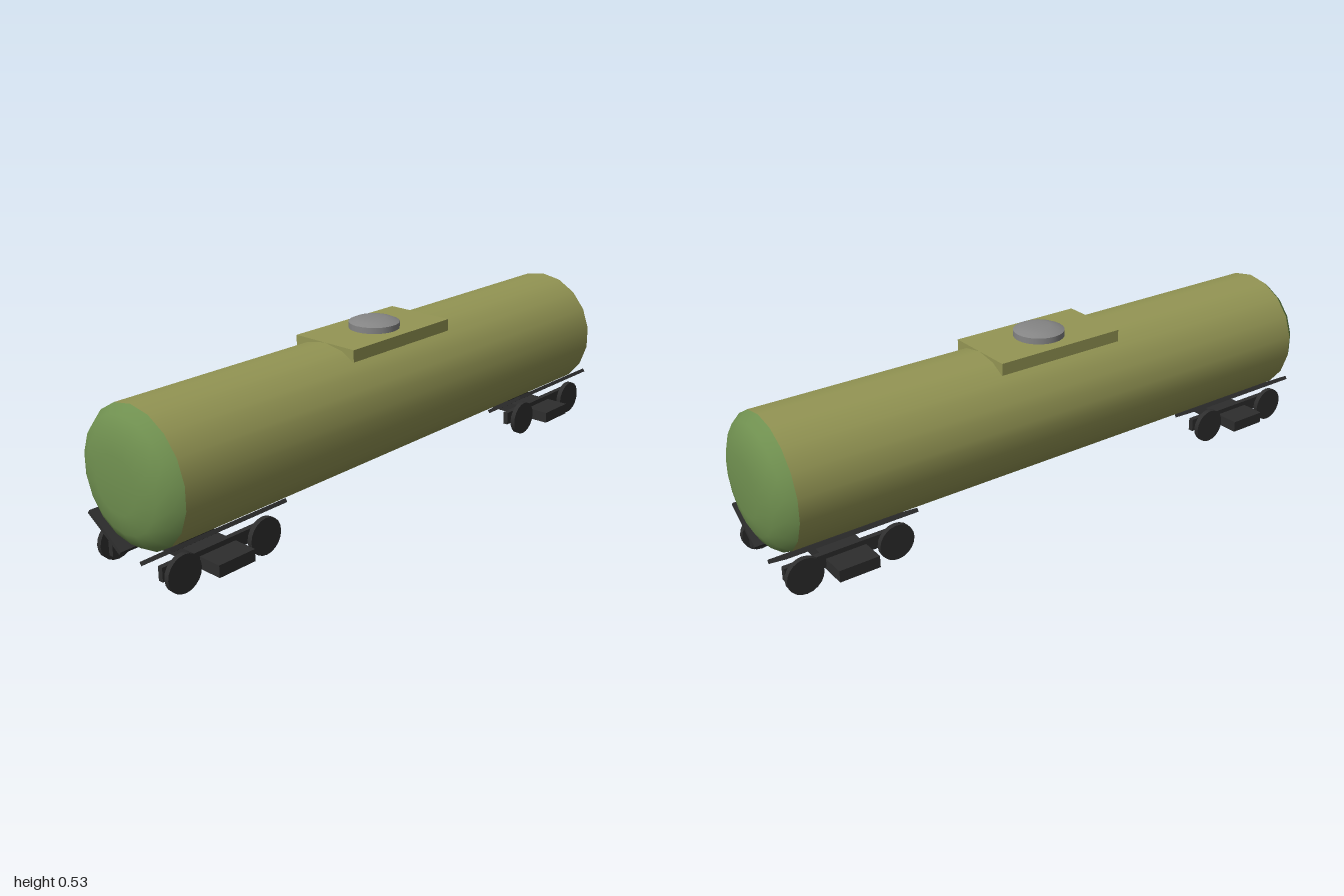
import * as THREE from 'three';

export function createModel() {
  const model = new THREE.Group();
  model.name = 'tankWagon';

  const mat = (name, color) => {
    const m = new THREE.MeshStandardMaterial({ color });
    m.name = name;
    return m;
  };
  const olive = mat('tank olive', 0x949654);
  const green = mat('end cap green', 0x6f8f4f);
  const grey = mat('hatch grey', 0x858585);
  const dark = mat('undercarriage black', 0x2e2e2e);

  const add = (parent, name, geometry, material, x = 0, y = 0, z = 0) => {
    const mesh = new THREE.Mesh(geometry, material);
    mesh.name = name;
    mesh.position.set(x, y, z);
    parent.add(mesh);
    return mesh;
  };
  const lathe = (points, sides) =>
    new THREE.LatheGeometry(points.map(([r, y]) => new THREE.Vector2(r, y)), sides);

  // Tank barrel
  const radius = 0.205, axisY = 0.293, halfBarrel = 0.935, sides = 18;
  const barrel = new THREE.CylinderGeometry(radius, radius, 2 * halfBarrel, sides, 1, true);
  add(model, 'tankBarrel', barrel.rotateX(Math.PI / 2), olive, 0, axisY, 0);

  // Domed end caps
  for (const end of [1, -1]) {
    const cap = lathe([[radius, 0], [0.182, 0.03], [0.145, 0.05], [0.085, 0.065], [0, 0.065]], sides);
    cap.rotateX(end * Math.PI / 2);
    add(model, end > 0 ? 'frontCap' : 'backCap', cap, green, 0, axisY, end * halfBarrel);
  }

  // Roof platform and hatch
  add(model, 'roofPlatform', new THREE.BoxGeometry(0.236, 0.038, 0.444), olive, 0, 0.479, 0);
  add(model, 'hatchRing', new THREE.CylinderGeometry(0.08, 0.08, 0.02, 24, 1, true), grey, 0, 0.507, 0);
  add(model, 'hatchLid', lathe([[0.08, 0], [0.062, 0.008], [0.036, 0.014], [0, 0.014]], 24),
    grey, 0, 0.517, 0);

  // Bogies
  const wheelGeo = new THREE.CylinderGeometry(0.0565, 0.0565, 0.016, 20).rotateZ(Math.PI / 2);
  for (const end of [1, -1]) {
    const bogie = new THREE.Group();
    bogie.name = end > 0 ? 'frontBogie' : 'backBogie';
    bogie.position.z = end * 0.767;
    model.add(bogie);

    add(bogie, 'crossBeam', new THREE.BoxGeometry(0.388, 0.037, 0.128), dark, 0, 0.0445, 0);
    add(bogie, 'pivot', new THREE.BoxGeometry(0.055, 0.045, 0.128), dark, 0, 0.08, 0);

    for (const side of [1, -1]) {
      add(bogie, 'sideFrame', new THREE.BoxGeometry(0.017, 0.043, 0.38), dark, side * 0.107, 0.057, 0);
      // Sloping cradle plate under the tank
      const plate = add(bogie, 'cradlePlate', new THREE.BoxGeometry(0.155, 0.012, 0.41), dark,
        side * 0.109, 0.112, 0);
      plate.rotation.z = side * 0.57;
      for (const z of [0.145, -0.145]) {
        add(bogie, 'wheel', wheelGeo, dark, side * 0.145, 0.0565, z);
      }
    }
  }
  return model;
}
